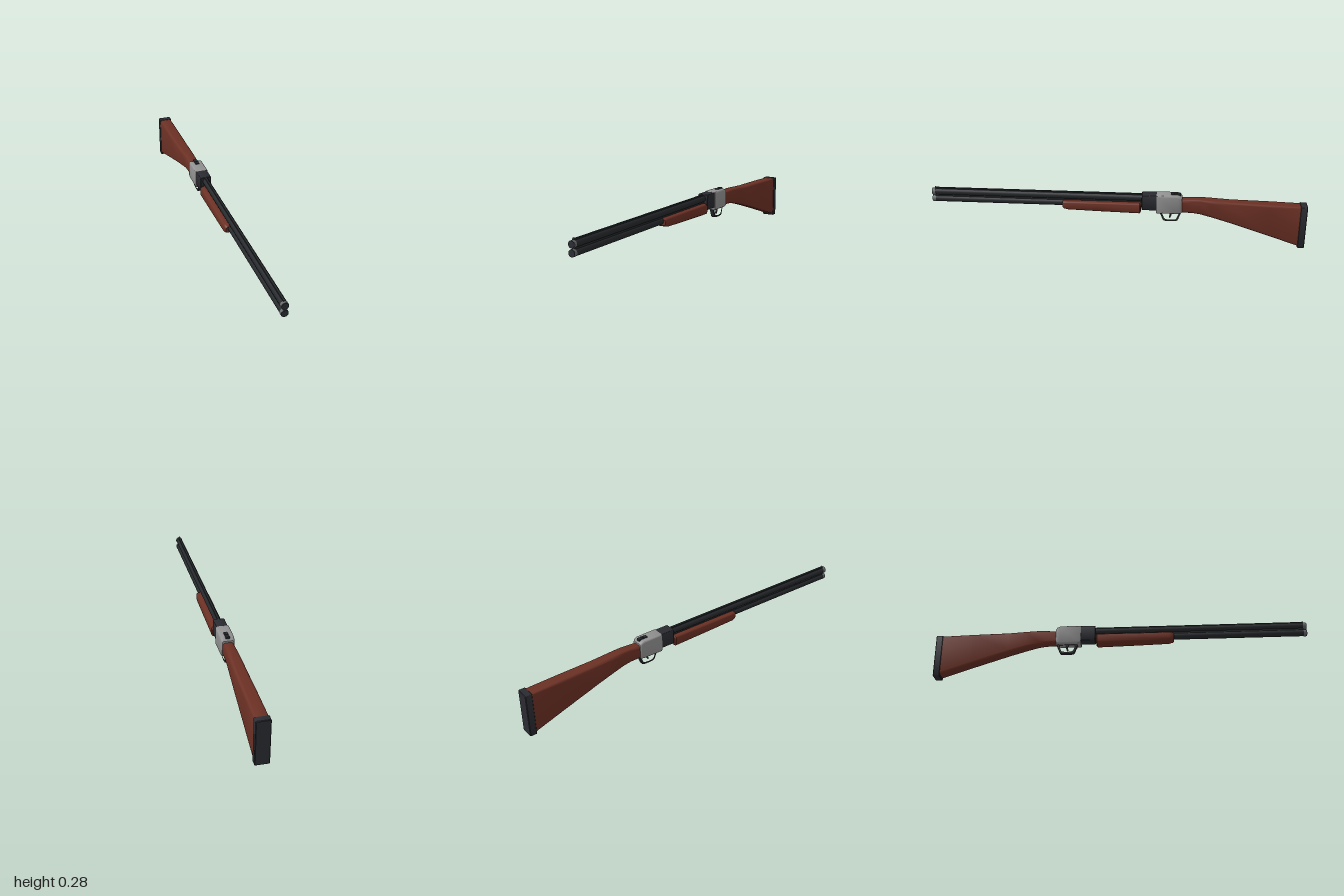
import * as THREE from 'three';
import { toCreasedNormals } from 'three/addons/utils/BufferGeometryUtils.js';

const mat = (name, color, extra = {}) => new THREE.MeshStandardMaterial({ name, color, ...extra });

// Loft of rounded rectangles; sections are [z, halfWidth, yBottom, yTop, cornerRadius], z rising
function loft(sections, seg = 4) {
  const pos = [], idx = [], n = 4 * (seg + 1);
  for (const [z, w, y0, y1, r] of sections) {
    const corners = [[w - r, y1 - r], [r - w, y1 - r], [r - w, y0 + r], [w - r, y0 + r]];
    corners.forEach(([cx, cy], q) => {
      for (let i = 0; i <= seg; i++) {
        const a = (q + i / seg) * Math.PI / 2;
        pos.push(cx + r * Math.cos(a), cy + r * Math.sin(a), z);
      }
    });
  }
  const last = (sections.length - 1) * n;
  for (let s = 0; s < last; s += n) {
    for (let i = 0; i < n; i++) {
      const j = (i + 1) % n;
      idx.push(s + i, s + j, s + n + j, s + i, s + n + j, s + n + i);
    }
  }
  for (let i = 1; i < n - 1; i++) idx.push(0, i + 1, i, last, last + i, last + i + 1);
  const g = new THREE.BufferGeometry();
  g.setAttribute('position', new THREE.Float32BufferAttribute(pos, 3));
  g.setIndex(idx);
  return toCreasedNormals(g, 0.6);
}

// Block with rounded long edges and a small bevel at both ends
function block(z0, z1, w, y0, y1, r, b = 0.004) {
  return loft([
    [z0, w - b, y0 + b, y1 - b, r], [z0 + b, w, y0, y1, r],
    [z1 - b, w, y0, y1, r], [z1, w - b, y0 + b, y1 - b, r],
  ]);
}

// Smooth closed outline through (z, y) points
function outline(points, Type = THREE.Shape) {
  const c = new THREE.CatmullRomCurve3(points.map(([z, y]) => new THREE.Vector3(z, y, 0)), true, 'catmullrom', 0.35);
  return new Type(c.getPoints(48).map(p => new THREE.Vector2(p.x, p.y)));
}

// Side profile extruded across x
function sidePlate(shape, width) {
  const g = new THREE.ExtrudeGeometry(shape, {
    depth: width - 0.004, bevelEnabled: true, bevelSize: 0.001, bevelThickness: 0.002, bevelSegments: 1,
  });
  g.translate(0, 0, -(width - 0.004) / 2);
  g.rotateY(-Math.PI / 2);
  return toCreasedNormals(g, 0.6);
}

export function createModel() {
  const root = new THREE.Group();
  const wood = mat('walnut', 0x6b3024);
  const steel = mat('receiver steel', 0x929292);
  const blued = mat('blued steel', 0x2a2b31);
  const barrelMat = mat('barrel steel', 0x25282b);
  const bore = mat('bore', 0x2c2f36);
  const bright = mat('muzzle steel', 0x66686a);
  const add = (name, geometry, material, parent = root) => {
    const m = new THREE.Mesh(geometry, material);
    m.name = name;
    parent.add(m);
    return m;
  };
  const rod = (name, r, z0, z1, y, material, sides = 24) =>
    add(name, new THREE.CylinderGeometry(r, r, z1 - z0, sides).rotateX(Math.PI / 2)
      .translate(0, y, (z0 + z1) / 2), material);

  // Stacked barrels with muzzle collars
  for (const [label, y] of [['upper', 0.251], ['lower', 0.211]]) {
    rod(label + 'Barrel', 0.0175, -0.15, 0.985, y, barrelMat);
    rod(label + 'MuzzleCollar', 0.0185, 0.982, 0.997, y, bright);
    rod(label + 'MuzzleFace', 0.0175, 0.996, 1, y, bore);
  }
  // Sighting rib, joining rib and bead
  add('topRib', new THREE.BoxGeometry(0.011, 0.008, 1.12).translate(0, 0.27, 0.425), barrelMat);
  add('middleRib', new THREE.BoxGeometry(0.016, 0.014, 1.12).translate(0, 0.231, 0.425), barrelMat);
  add('frontBead', new THREE.SphereGeometry(0.004, 12, 8).translate(0, 0.276, 0.982), bright);

  // Fore-end
  add('foreEnd', loft([
    [-0.127, 0.03, 0.174, 0.223, 0.014], [-0.121, 0.035, 0.169, 0.227, 0.014],
    [0.1, 0.035, 0.174, 0.227, 0.014], [0.265, 0.035, 0.179, 0.227, 0.014],
    [0.285, 0.033, 0.184, 0.226, 0.014], [0.292, 0.028, 0.189, 0.222, 0.012],
  ]), wood);

  // Breech block and receiver
  add('breechBlock', block(-0.215, -0.132, 0.03, 0.19, 0.275, 0.004, 0.002), blued);
  add('receiver', loft([
    [-0.345, 0.03, 0.18, 0.262, 0.01], [-0.338, 0.034, 0.176, 0.27, 0.01],
    [-0.322, 0.035, 0.174, 0.277, 0.01], [-0.214, 0.035, 0.174, 0.277, 0.008],
    [-0.21, 0.033, 0.176, 0.275, 0.008],
  ]), steel);

  // Top lever and safety button
  add('topLever', block(-0.338, -0.284, 0.011, 0.268, 0.282, 0.004, 0.002), blued);
  add('safetyButton', block(-0.318, -0.302, 0.006, 0.278, 0.285, 0.002, 0.001), blued);

  // Trigger guard and trigger
  const guard = outline([[-0.234, 0.177], [-0.238, 0.15], [-0.25, 0.126], [-0.285, 0.122],
    [-0.32, 0.126], [-0.331, 0.15], [-0.335, 0.177]]);
  guard.holes.push(outline([[-0.245, 0.17], [-0.248, 0.15], [-0.257, 0.135], [-0.285, 0.131],
    [-0.313, 0.135], [-0.321, 0.15], [-0.324, 0.17]], THREE.Path));
  add('triggerGuard', sidePlate(guard, 0.022), blued);
  add('trigger', sidePlate(outline([[-0.278, 0.178], [-0.283, 0.16], [-0.279, 0.142],
    [-0.284, 0.14], [-0.291, 0.158], [-0.292, 0.178]]), 0.009), blued);

  // Stock and butt pad
  add('stock', loft([
    [-0.968, 0.034, 0.008, 0.236, 0.012], [-0.8, 0.034, 0.064, 0.242, 0.014],
    [-0.6, 0.033, 0.128, 0.247, 0.016], [-0.5, 0.031, 0.157, 0.254, 0.016],
    [-0.44, 0.029, 0.172, 0.258, 0.016], [-0.4, 0.028, 0.177, 0.257, 0.016],
    [-0.335, 0.028, 0.179, 0.252, 0.015],
  ]), wood);
  add('buttPad', block(-1, -0.963, 0.036, 0, 0.238, 0.005, 0.003), blued);

  return root;
}
